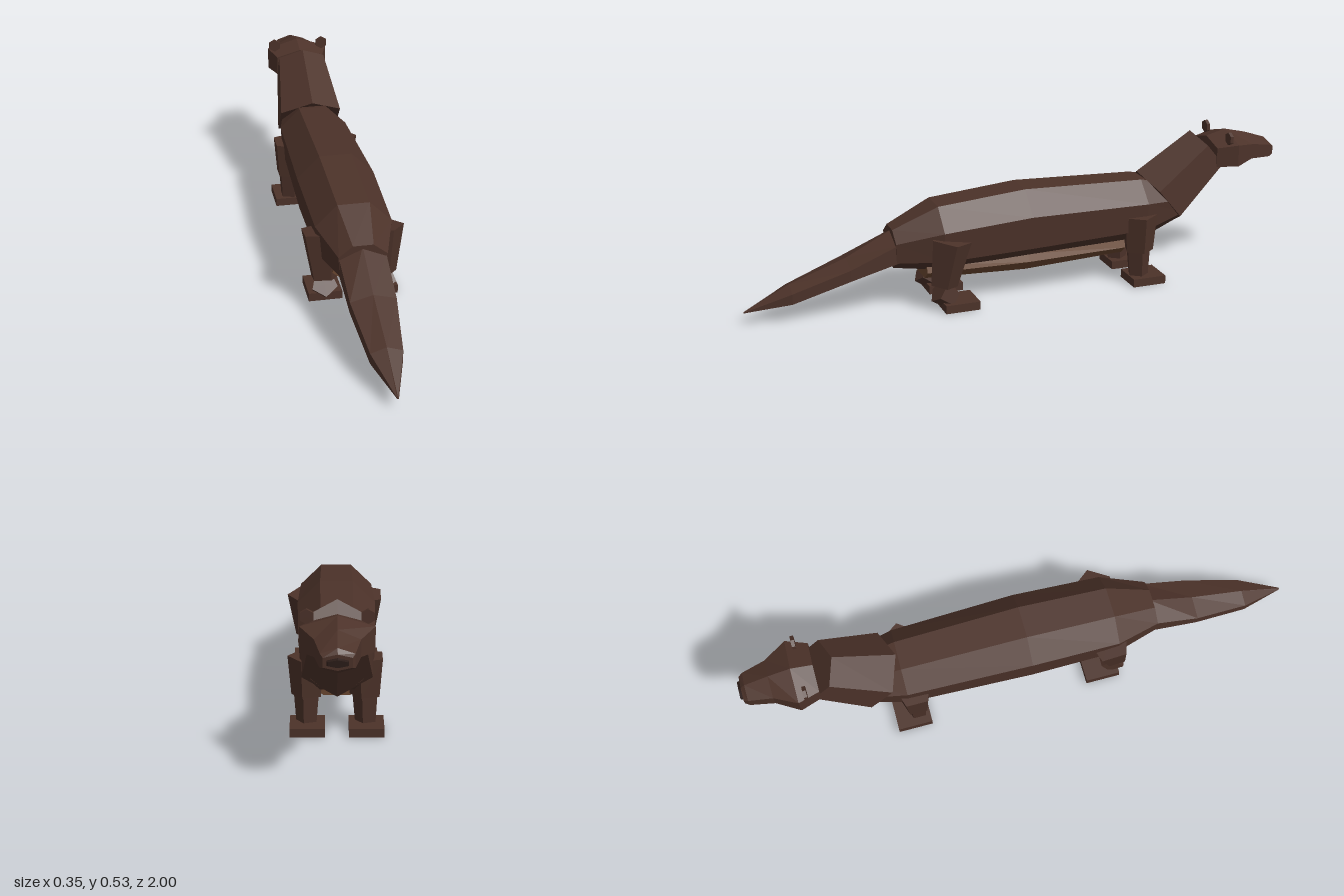
import * as THREE from 'three';

const flat = (color, name) => {
  const m = new THREE.MeshStandardMaterial({ color, flatShading: true });
  m.name = name;
  return m;
};

// Closed loft, sections ordered from +z to -z; each is [z, half outline from top to bottom], mirrored in x
function loft(sections) {
  const rings = sections.map(([z, half]) => {
    const right = half.slice().reverse();
    const left = half.filter(p => p[0] > 0).map(([x, y]) => [-x, y]);
    return [...right, ...left].map(([x, y]) => [x, y, z]);
  });
  const pos = [];
  const n = rings[0].length;
  const tri = (a, b, c) => pos.push(...a, ...b, ...c);
  for (let i = 0; i < rings.length - 1; i++) {
    for (let j = 0; j < n; j++) {
      const k = (j + 1) % n, A = rings[i], B = rings[i + 1];
      tri(A[j], B[j], A[k]);
      tri(A[k], B[j], B[k]);
    }
  }
  const first = rings[0], last = rings[rings.length - 1];
  for (let j = 1; j < n - 1; j++) {
    tri(first[0], first[j], first[j + 1]);
    tri(last[0], last[j + 1], last[j]);
  }
  const g = new THREE.BufferGeometry();
  g.setAttribute('position', new THREE.Float32BufferAttribute(pos, 3));
  g.computeVertexNormals();
  return g;
}

// Six-sided outline with a ridge on top and a keel below
const hex = (z, w, top, hi, lo, bottom) => [z, [[0, top], [w, hi], [w, lo], [0, bottom]]];
// Eight-sided outline with a flat back and flat underside
const oct = (z, w, top, hi, lo, bottom) =>
  [z, [[w * 0.42, top], [w, hi], [w * 0.95, lo], [w * 0.45, bottom]]];

// Tapered prism running from point a (top) to point b (bottom)
function limb(a, b, rTop, rBottom, sides, start = 0) {
  const top = new THREE.Vector3(...a), bottom = new THREE.Vector3(...b);
  const axis = top.clone().sub(bottom);
  const g = new THREE.CylinderGeometry(rTop, rBottom, axis.length(), sides, 1, false, start);
  g.applyQuaternion(new THREE.Quaternion().setFromUnitVectors(
    new THREE.Vector3(0, 1, 0), axis.normalize()));
  const mid = top.add(bottom).multiplyScalar(0.5);
  return g.translate(mid.x, mid.y, mid.z);
}

export function createModel() {
  const fur = flat(0x4c3229, 'dark brown fur');
  const pale = flat(0x6b4730, 'belly brown');
  const dark = flat(0x2a1b17, 'nose dark');
  const model = new THREE.Group();
  const animal = new THREE.Group();
  animal.name = 'animal';
  animal.position.x = -0.008;
  model.add(animal);
  const add = (name, geometry, material = fur) => {
    const mesh = new THREE.Mesh(geometry, material);
    mesh.name = name;
    animal.add(mesh);
  };

  // Long body, tapering to the hips and chest
  add('body', loft([
    oct(0.48, 0.083, 0.288, 0.25, 0.18, 0.15),
    oct(0.32, 0.132, 0.36, 0.285, 0.18, 0.13),
    oct(0, 0.138, 0.388, 0.308, 0.19, 0.13),
    oct(-0.45, 0.125, 0.372, 0.3, 0.2, 0.145),
    oct(-0.61, 0.09, 0.34, 0.29, 0.24, 0.205),
  ]));

  // Paler belly set into the underside
  const belly = (z, w, low) => [z, [[w * 0.9, 0.158], [w, 0.13], [w * 0.55, low]]];
  add('belly', loft([belly(0.37, 0.082, 0.1), belly(0, 0.1, 0.088), belly(-0.38, 0.082, 0.1)]), pale);

  // Tail, ridged above and keeled below
  add('tail', loft([
    hex(1, 0.003, 0.046, 0.044, 0.042, 0.04),
    hex(0.84, 0.053, 0.125, 0.107, 0.07, 0.054),
    hex(0.64, 0.077, 0.195, 0.175, 0.135, 0.112),
    hex(0.47, 0.08, 0.28, 0.245, 0.18, 0.145),
  ]));

  // Raised neck
  add('neck', limb([0, 0.445, -0.73], [0, 0.287, -0.54], 0.1, 0.132, 6));

  // Head and muzzle
  add('head', loft([
    hex(-0.735, 0.09, 0.495, 0.47, 0.4, 0.37),
    hex(-0.81, 0.115, 0.514, 0.48, 0.4, 0.368),
    hex(-0.89, 0.07, 0.495, 0.465, 0.41, 0.384),
    hex(-0.975, 0.052, 0.467, 0.45, 0.405, 0.39),
    hex(-0.99, 0.044, 0.452, 0.442, 0.412, 0.402),
  ]));
  add('nose', loft([
    hex(-0.98, 0.036, 0.445, 0.436, 0.418, 0.41),
    hex(-1, 0.03, 0.438, 0.432, 0.42, 0.414),
  ]), dark);

  for (const s of [1, -1]) {
    const side = s > 0 ? 'left' : 'right';
    add(side + 'Ear', limb([s * 0.093, 0.503, -0.775], [s * 0.093, 0.503, -0.787], 0.0235, 0.0235, 6));

    // Hind leg
    const q = Math.PI / 2;
    add(side + 'Thigh', limb([s * 0.107, 0.255, 0.292], [s * 0.1, 0.09, 0.32], 0.075, 0.051, 5, q));
    add(side + 'Hock', limb([s * 0.103, 0.07, 0.336], [s * 0.1, 0.033, 0.288], 0.046, 0.04, 5));

    // Front leg
    add(side + 'UpperArm', limb([s * 0.097, 0.255, -0.425], [s * 0.097, 0.122, -0.425], 0.066, 0.054, 5, q));
    add(side + 'Forearm', limb([s * 0.097, 0.13, -0.422], [s * 0.098, 0.02, -0.425], 0.046, 0.037, 5, q));

    // Feet
    for (const [name, z] of [['HindFoot', 0.265], ['FrontFoot', -0.447]]) {
      add(side + name, new THREE.BoxGeometry(0.117, 0.03, 0.125).translate(s * 0.098, 0.015, z));
    }
  }
  return model;
}
